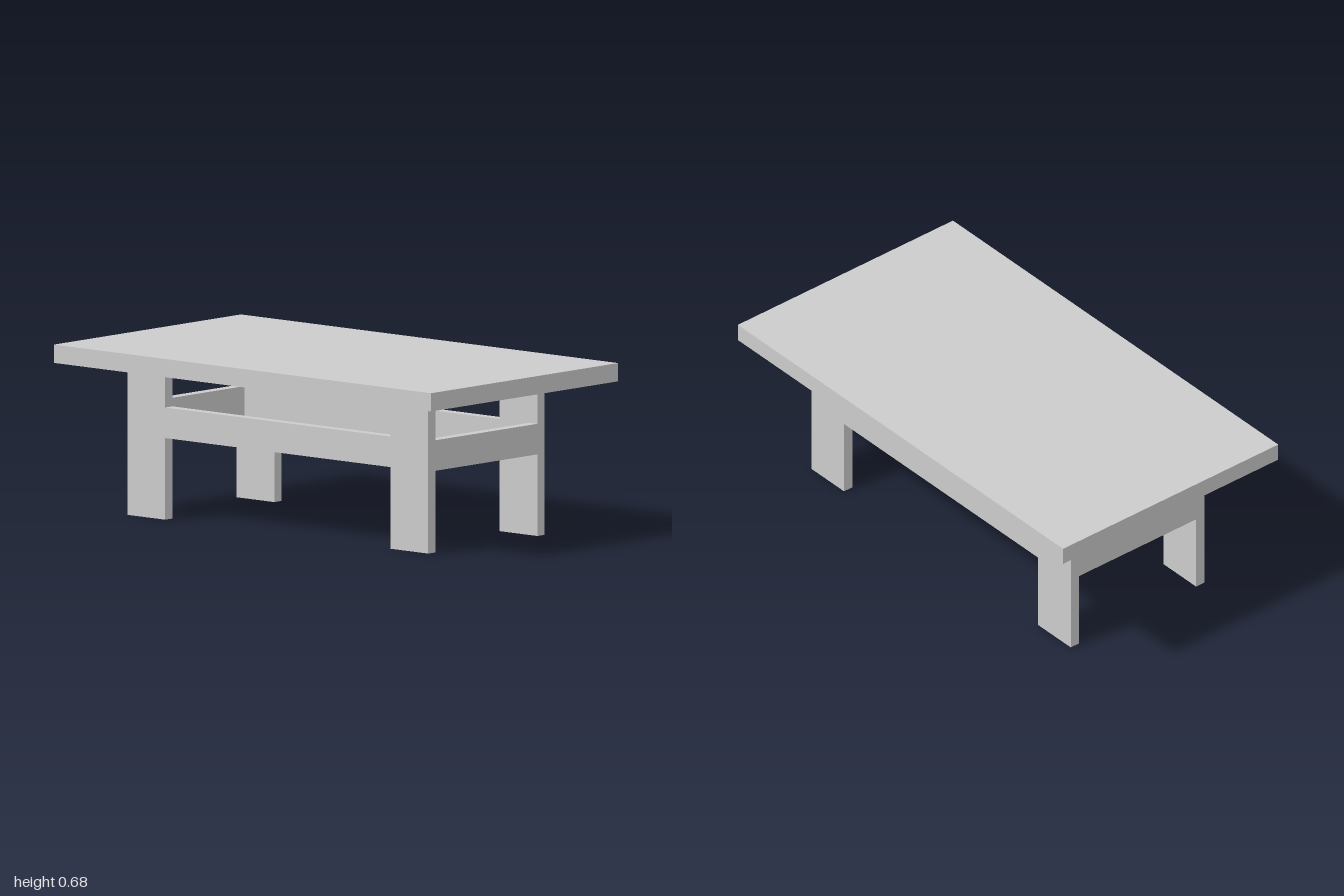
import * as THREE from 'three';

const TOP_Y = 0.683, LEG_H = 0.61;
const RAIL_LOW = 0.326, RAIL_HIGH = 0.448;
const FRAME_X = 0.345, BOARD = 0.043; // outer face and thickness of the frame boards
const LEG_OUT = 0.797, LEG_IN = 0.597;

export function createModel() {
  const table = new THREE.Group();
  table.name = 'table';
  const material = new THREE.MeshStandardMaterial({ color: 0xcccccc, flatShading: true });

  function add(name, geometry, x, y, z) {
    const mesh = new THREE.Mesh(geometry, material);
    mesh.name = name;
    mesh.position.set(x, y, z);
    table.add(mesh);
    return mesh;
  }

  // Table top
  add('tableTop', new THREE.BoxGeometry(1.11, TOP_Y - LEG_H, 2), 0, (TOP_Y + LEG_H) / 2, 0);

  // H-shaped side frames: two wide legs joined by a long rail in one board
  const outline = new THREE.Shape([
    [-LEG_OUT, 0], [-LEG_IN, 0], [-LEG_IN, RAIL_LOW], [LEG_IN, RAIL_LOW], [LEG_IN, 0], [LEG_OUT, 0],
    [LEG_OUT, LEG_H], [LEG_IN, LEG_H], [LEG_IN, RAIL_HIGH], [-LEG_IN, RAIL_HIGH], [-LEG_IN, LEG_H], [-LEG_OUT, LEG_H],
  ].map(([z, y]) => new THREE.Vector2(z, y)));
  const frame = new THREE.ExtrudeGeometry(outline, { depth: BOARD, bevelEnabled: false });
  frame.translate(0, 0, -BOARD / 2);
  frame.rotateY(Math.PI / 2);

  // End rails between the frames, flush with the leg ends
  const endRail = new THREE.BoxGeometry(2 * (FRAME_X - BOARD), RAIL_HIGH - RAIL_LOW, BOARD);

  for (const s of [1, -1]) {
    add(s > 0 ? 'leftSideFrame' : 'rightSideFrame', frame, s * (FRAME_X - BOARD / 2), 0, 0);
    add(s > 0 ? 'frontRail' : 'backRail', endRail, 0, (RAIL_LOW + RAIL_HIGH) / 2, s * (LEG_OUT - BOARD / 2));
  }
  return table;
}
